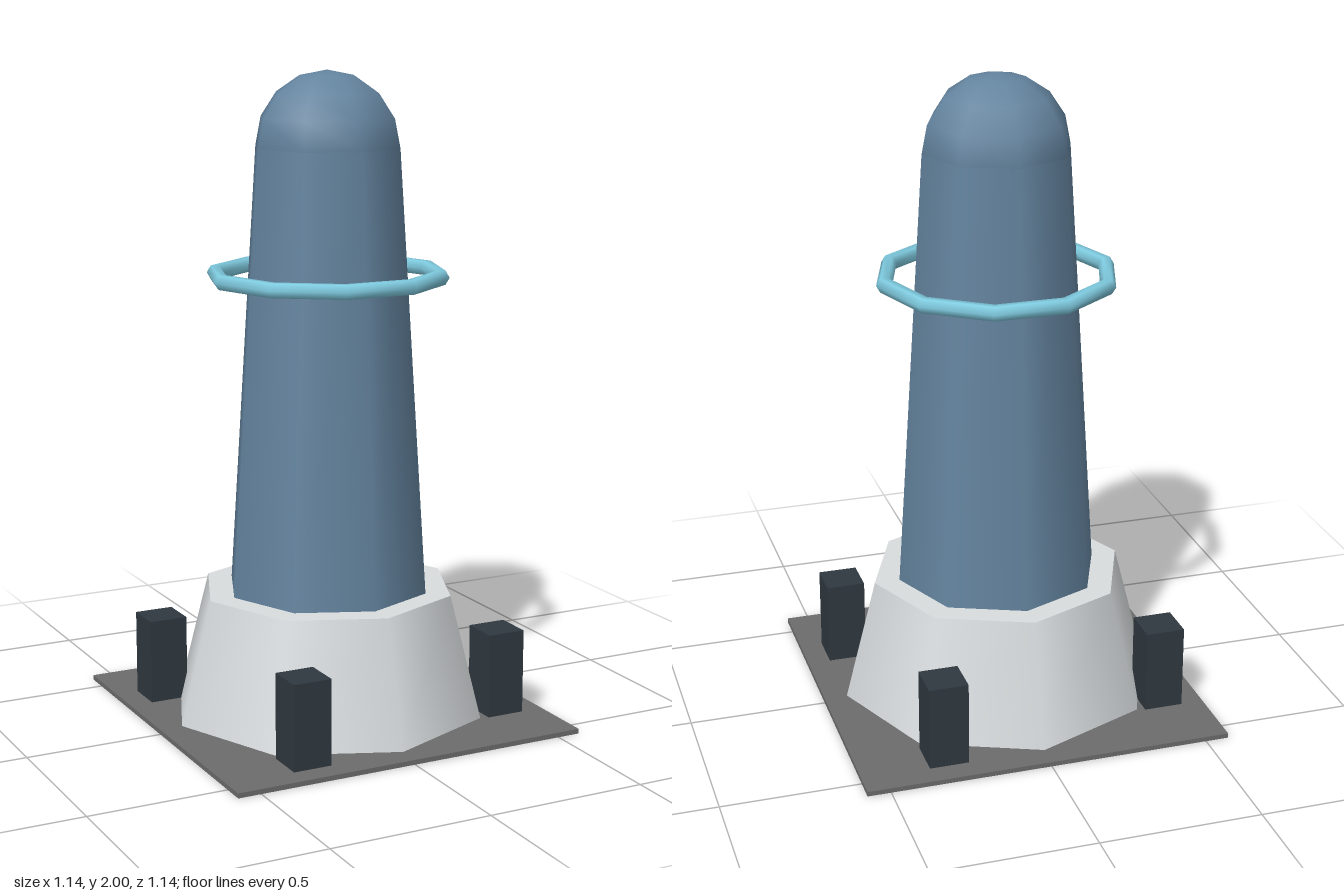
import * as THREE from 'three';

const paint = (name, color) => {
  const m = new THREE.MeshStandardMaterial({ color });
  m.name = name;
  return m;
};

export function createModel() {
  const group = new THREE.Group();
  const steelBlue = paint('steel blue', 0x64849f);
  const paleGrey = paint('pale grey', 0xd8dcde);
  const midGrey = paint('mid grey', 0x6c6c6c);
  const darkSlate = paint('dark slate', 0x2f3940);
  const cyan = paint('cyan', 0x7fcbe0);

  const add = (name, geometry, material, x = 0, y = 0, z = 0) => {
    const mesh = new THREE.Mesh(geometry, material);
    mesh.name = name;
    mesh.position.set(x, y, z);
    group.add(mesh);
    return mesh;
  };

  // Ground plate
  const plateH = 0.015;
  add('groundPlate', new THREE.BoxGeometry(1.145, plateH, 1.145), midGrey, 0, plateH / 2, 0);

  // Eight-sided tapered plinth
  const plinthH = 0.4 - plateH;
  add('plinth', new THREE.CylinderGeometry(0.4, 0.5, plinthH, 8), paleGrey, 0, plateH + plinthH / 2, 0);

  // Tapered tower with a domed cap
  const towerTop = 1.77;
  add('tower', new THREE.CylinderGeometry(0.23, 0.32, towerTop - 0.4, 8), steelBlue, 0, (towerTop + 0.4) / 2, 0);
  add('dome', new THREE.SphereGeometry(0.23, 8, 4, 0, Math.PI * 2, 0, Math.PI / 2), steelBlue, 0, towerTop, 0);

  // Floating ten-sided ring
  const ring = add('ring', new THREE.TorusGeometry(0.35, 0.025, 6, 10), cyan, 0, 1.38, 0);
  ring.rotation.x = Math.PI / 2;

  // Four square posts around the plinth
  const post = new THREE.BoxGeometry(0.122, 0.28 - plateH, 0.122);
  for (let i = 0; i < 4; i++) {
    const a = 0.6 + (i * Math.PI) / 2;
    add('post' + (i + 1), post, darkSlate, Math.cos(a) * 0.533, (0.28 + plateH) / 2, Math.sin(a) * 0.533);
  }

  return group;
}
